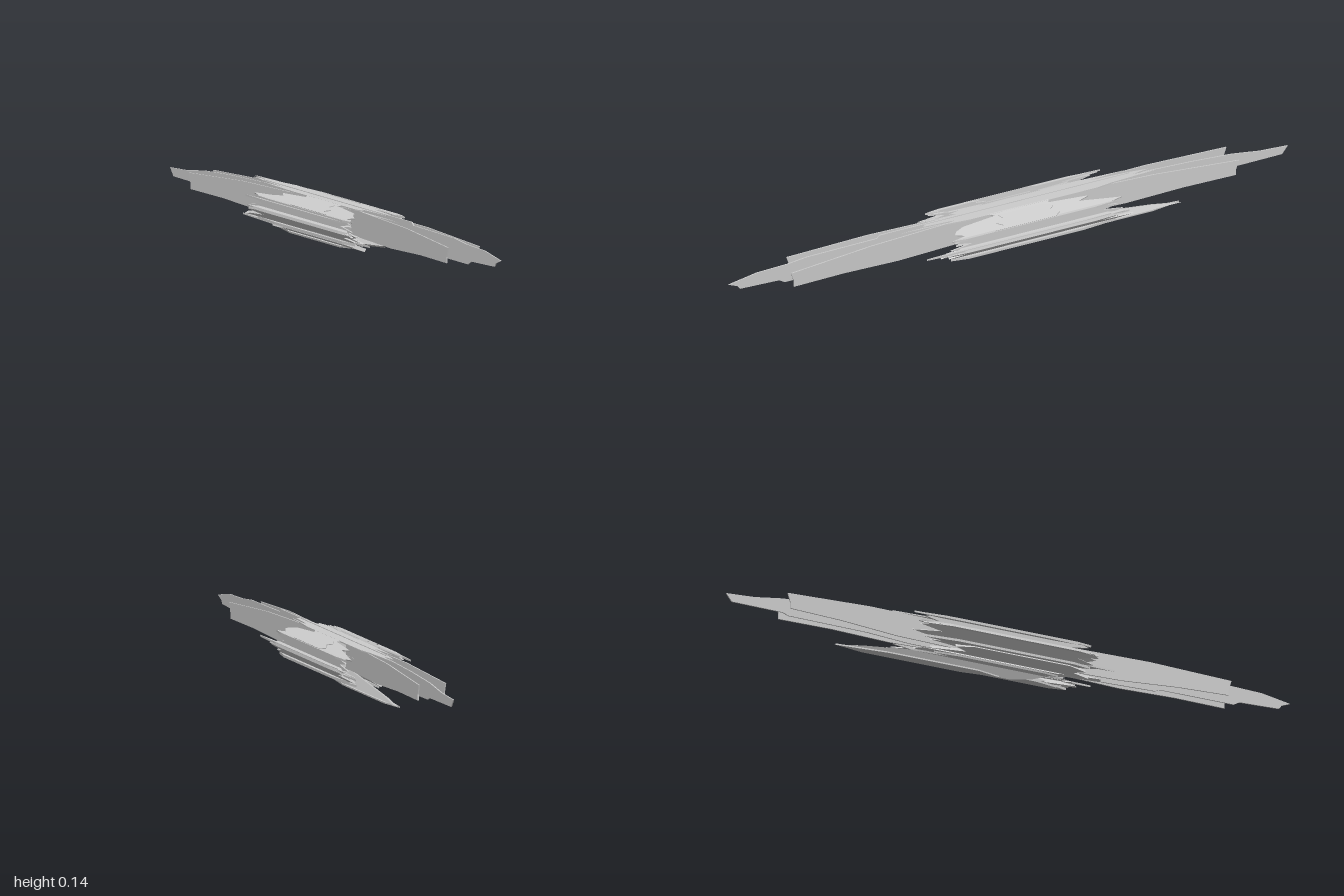
import * as THREE from 'three';

const material = new THREE.MeshStandardMaterial({ color: 0xcccccc, flatShading: true, side: THREE.DoubleSide });

function shapeOf(points) {
  return new THREE.Shape(points.map(([u, v]) => new THREE.Vector2(u, v)));
}

// Outline with ragged ends: z of the front and back edge at even steps across the sheet
function ragged(front, back) {
  const step = (list) => list.map((z, i) => [i / (list.length - 1), z]);
  return [...step(front), ...step(back).reverse()];
}

export function createModel() {
  const model = new THREE.Group();
  model.name = 'shardCraft';

  function add(name, geometry) {
    const mesh = new THREE.Mesh(geometry, material);
    mesh.name = name;
    model.add(mesh);
    return mesh;
  }

  // Thin sheet running along z; its cross-section goes from a to b in (x, y).
  // The outline is [share of the way from a to b, z]; splay shifts x with z, drop shifts y.
  function sheet(name, a, b, outline, thickness = 0.004, splay = 0, drop = 0) {
    const dir = new THREE.Vector3(b[0] - a[0], b[1] - a[1], 0);
    const width = dir.length();
    dir.normalize();
    const along = new THREE.Vector3(0, 0, 1);
    const normal = dir.clone().cross(along);
    const geometry = new THREE.ExtrudeGeometry(shapeOf(outline.map(([u, z]) => [u * width, z])),
      { depth: thickness, bevelEnabled: false });
    geometry.translate(0, 0, -thickness / 2);
    geometry.applyMatrix4(new THREE.Matrix4().makeBasis(dir, along, normal).setPosition(a[0], a[1], 0));
    const p = geometry.attributes.position;
    for (let i = 0; i < p.count; i++) {
      p.setX(i, p.getX(i) + splay * p.getZ(i));
      p.setY(i, p.getY(i) + drop * p.getZ(i));
    }
    geometry.computeVertexNormals();
    return add(name, geometry);
  }

  // Upright blade: outline given directly as [y, z]
  const blade = (name, x, outline, thickness, splay) =>
    sheet(name, [x, 0], [x, 1], outline, thickness, splay);

  // Long central blade
  blade('centralBlade', -0.004, [
    [0.1, 1], [0.118, 0.9], [0.122, 0.79], [0.13, 0.72], [0.133, 0.47], [0.143, 0.46],
    [0.143, -0.43], [0.133, -0.45], [0.125, -0.65], [0.115, -0.8], [0.1, -0.9], [0.094, -1],
    [0.068, -0.98], [0.066, -0.8], [0.058, -0.78], [0.055, -0.5], [0.045, -0.35],
    [0.045, 0.35], [0.05, 0.52], [0.058, 0.54], [0.058, 0.8], [0.07, 0.82], [0.075, 0.96], [0.088, 0.97],
  ], 0.004);

  // Four blades splayed outward to the front and back
  const splayed = [[0.08, 0.78], [0.112, 0.79], [0.12, 0.66], [0.13, 0.5], [0.136, 0.12],
    [0.05, 0.12], [0.048, 0.4], [0.058, 0.6], [0.06, 0.78]];
  [['frontRightBlade', -0.012, 0.97, -0.06], ['frontLeftBlade', 0.004, 1.01, 0.044],
    ['backRightBlade', -0.015, -1.02, 0.05], ['backLeftBlade', 0.004, -1.02, -0.04],
  ].forEach(([name, x, scale, splay]) =>
    blade(name, x, splayed.map(([y, z]) => [y, z * scale]), 0.004, splay));

  // Short closed hull in the middle
  const hull = new THREE.ExtrudeGeometry(shapeOf([[-0.03, 0.138], [-0.1, 0.112], [-0.1, 0.085], [-0.075, 0.052],
    [0.07, 0.052], [0.097, 0.085], [0.097, 0.115], [0.03, 0.138]]), { depth: 0.18, bevelEnabled: false });
  add('hull', hull.translate(0, 0, -0.12));

  // Narrow ragged deck over the spine
  sheet('spineDeck', [-0.034, 0.139], [0.034, 0.139], ragged(
    [0.16, 0.2, 0.18, 0.31, 0.3, 0.31, 0.2, 0.24, 0.15],
    [-0.22, -0.42, -0.3, -0.44, -0.5, -0.44, -0.52, -0.36, -0.3]));
  [[0.128, 0.012, 0.32], [0.092, 0.018, 0.34], [0.07, 0.014, 0.28]].forEach(([y, w, z]) =>
    sheet('spineFin', [-w - 0.004, y], [w - 0.004, y],
      ragged([z * 0.7, z, z * 1.3, z, z * 0.6], [-z * 0.8, -z, -z * 1.4, -z, -z * 0.7])));

  // Side assemblies, mirrored with slightly different ragged ends
  for (const s of [-1, 1]) {
    const side = s < 0 ? 'right' : 'left';
    const o = s < 0 ? 0 : 0.02;
    const part = (name, a, b, front, back, t) =>
      sheet(side + name, [a[0] * s, a[1]], [b[0] * s, b[1]], ragged(front, back), t);

    part('RoofSlope', [0.03, 0.14], [0.1, 0.115],
      [0.09, 0.07, 0.19, 0.2 + o, 0.23, 0.2, 0.25], [-0.13, -0.12, -0.24 - o, -0.22, -0.27 - o, -0.36, -0.3]);
    part('RoofOverlay', [0.045, 0.137], [0.102, 0.118],
      [0.06, 0.05, 0.08, 0.06, 0.1], [-0.1, -0.13, -0.11, -0.14, -0.12]);
    part('SideWall', [0.099, 0.117], [0.099, 0.075],
      [0.2, 0.24, 0.18, 0.25, 0.21], [-0.25, -0.34, -0.29, -0.36, -0.27], 0.005);
    part('UpperRail', [0.092, 0.115], [0.106, 0.115], [0.22, 0.25, 0.2], [-0.28, -0.34, -0.26], 0.007);

    // Stacked slanted armour strips below the walls
    part('OuterSlant', [0.118, 0.08], [0.085, 0.045],
      [0.25, 0.27, 0.2, 0.26, 0.22], [-0.3, -0.36 + o, -0.28, -0.38 - o, -0.3], 0.005);
    part('InnerSlant', [0.1, 0.082], [0.068, 0.04],
      [0.2, 0.27, 0.23, 0.28, 0.17], [-0.22, -0.3, -0.25, -0.33 - o, -0.2], 0.005);
    part('LowerSlant', [0.075, 0.07], [0.045, 0.045],
      [0.18, 0.24, 0.15, 0.22, 0.14], [-0.2, -0.27, -0.18, -0.3, -0.16]);
    part('OuterRail', [0.107, 0.077], [0.122, 0.081], [0.22, 0.27, 0.2], [-0.3, -0.35, -0.25], 0.009);
    part('LowerRail', [0.078, 0.043], [0.1, 0.043], [0.2, 0.25, 0.19], [-0.24, -0.34, -0.22], 0.008);
    part('WingShelf', [0.055, 0.092], [0.116, 0.082],
      [0.12, 0.2, 0.16, 0.22, 0.25], [-0.12, -0.2, -0.26, -0.3, -0.36]);
  }

  // Slim stray splinters beyond the ragged edges
  [[-0.088, 0.05, 0.34, -0.1], [0.116, 0.084, 0.35, -0.31], [0.085, 0.06, 0.28, -0.39], [-0.108, 0.11, 0.2, -0.38]]
    .forEach(([x, y, front, back]) => sheet('splinter', [x - 0.004, y], [x + 0.004, y],
      ragged([front - 0.1, front, front - 0.08], [back + 0.1, back, back + 0.1]), 0.006));

  // Hanging keels: thin webs with heavier feet
  sheet('leftKeel', [0.014, 0.05], [0.033, 0.008],
    ragged([0.2, 0.14, 0.1, 0.02], [-0.2, -0.35, -0.5, -0.6]), 0.015);
  sheet('leftKeelFoot', [0.005, 0.005], [0.034, 0.003],
    ragged([-0.1, -0.02, -0.15], [-0.42, -0.6, -0.5]), 0.005);
  sheet('rightKeel', [-0.012, 0.05], [-0.034, 0.022],
    ragged([0.25, 0.32, 0.2, 0.16], [-0.2, -0.28, -0.24, -0.32]), 0.01);
  sheet('rightKeelFoot', [-0.055, 0.012], [-0.015, 0.022],
    ragged([0.1, 0.16, 0.12, 0.18], [-0.2, -0.28, -0.22, -0.34]), 0.006);
  sheet('outerKeel', [-0.088, 0.04], [-0.055, 0.024],
    ragged([0.18, 0.24, 0.2, 0.26], [-0.16, -0.22, -0.18, -0.3]), 0.012);
  sheet('hangingWeb', [0.056, 0.052], [0.056, 0.028], ragged([0.1, 0.16, 0.12], [-0.2, -0.3, -0.24]));
  sheet('hangingFoot', [0.043, 0.028], [0.069, 0.028], ragged([0.12, 0.2, 0.14], [-0.2, -0.32, -0.25]), 0.007);

  return model;
}
